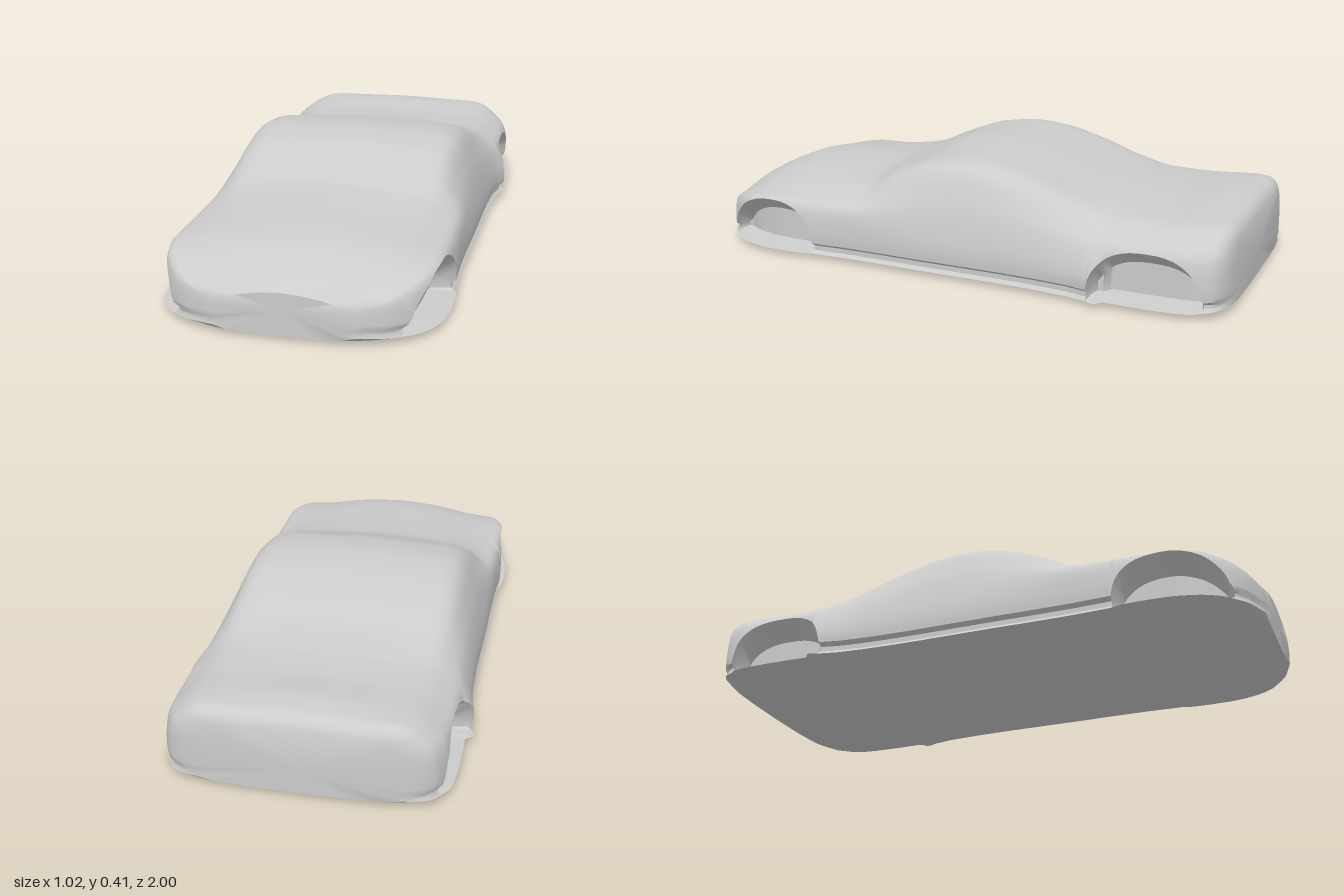
import * as THREE from 'three';
import { toCreasedNormals } from 'three/addons/utils/BufferGeometryUtils.js';

// Body stations: z, side half width, shoulder y, shoulder x, roof edge y, roof edge x, centre top y
const STATIONS = [
  [-1, .34, .15, .335, .235, .28, .25],
  [-.985, .40, .18, .39, .262, .32, .275],
  [-.95, .445, .2, .43, .278, .34, .293],
  [-.87, .472, .2, .455, .274, .36, .302],
  [-.72, .475, .2, .46, .268, .35, .291],
  [-.6, .475, .2, .46, .27, .35, .296],
  [-.57, .505, .2, .462, .272, .35, .3],
  [-.45, .485, .2, .455, .297, .36, .32],
  [-.3, .475, .2, .455, .345, .362, .368],
  [-.15, .472, .2, .455, .38, .365, .405],
  [-.03, .472, .2, .455, .39, .365, .415],
  [.1, .472, .2, .455, .375, .36, .402],
  [.25, .47, .2, .455, .325, .355, .35],
  [.37, .47, .2, .455, .275, .33, .307],
  [.55, .475, .2, .455, .25, .31, .287],
  [.72, .47, .2, .455, .235, .31, .271],
  [.82, .45, .19, .435, .215, .3, .252],
  [.9, .41, .17, .39, .185, .28, .218],
  [.96, .34, .14, .325, .155, .25, .187],
  [1, .23, .11, .215, .14, .15, .16],
];
const ARCH = { centre: .73, half: .19, rise: .14 };
const SILL_Y = .06;

// Smooth interpolation of the station table
function stationAt(z) {
  const n = STATIONS.length;
  let i = 0;
  while (i < n - 2 && z > STATIONS[i + 1][0]) i++;
  const a = STATIONS[i], b = STATIONS[i + 1];
  const h = b[0] - a[0], t = (z - a[0]) / h;
  const slope = (j, c) => {
    if (j === 0 || j === n - 1) return (b[c] - a[c]) / h;
    const p = STATIONS[j - 1], q = STATIONS[j], r = STATIONS[j + 1];
    const s0 = (q[c] - p[c]) / (q[0] - p[0]), s1 = (r[c] - q[c]) / (r[0] - q[0]);
    return s0 * s1 <= 0 ? 0 : 2 * s0 * s1 / (s0 + s1);
  };
  return a.map((v, c) => c === 0 ? z
    : v * (1 + 2 * t) * (1 - t) ** 2 + b[c] * t * t * (3 - 2 * t)
      + h * slope(i, c) * t * (1 - t) ** 2 + h * slope(i + 1, c) * t * t * (t - 1));
}

// One closed section, counterclockwise from the bottom centre
function section(z) {
  const [, w, ys, ws, ye, xe, yt] = stationAt(z);
  const d = Math.min(1, Math.abs(Math.abs(z) - ARCH.centre) / ARCH.half);
  const arch = Math.sqrt(1 - d ** 2.6);
  const open = Math.min(1, arch * 2.2);
  const lipY = SILL_Y + (Math.min(.2, ys) - SILL_Y) * arch;

  // Side, glass and roof as one curve, cut off at the arch lip
  const curve = new THREE.CatmullRomCurve3([
    [w - .006, .02], [w, ys * .5], [ws, ys],
    [(ws + xe) / 2 + .014, (ys + ye) / 2], [xe, ye],
    [xe * .5, yt - (yt - ye) * .28], [0, yt],
  ].map(([x, y]) => new THREE.Vector3(x, y, z)), false, 'centripetal');
  let lo = 0, hi = .6;
  for (let k = 0; k < 20; k++) {
    const m = (lo + hi) / 2;
    if (curve.getPoint(m).y < lipY) lo = m; else hi = m;
  }

  // Floor, floor edge and the sill groove that deepens into the wheel well
  const lift = .012 * z ** 16;
  const floorX = w - .006 + .016 * arch;
  const wellX = w - .018 - .075 * open;
  const half = [
    [0, lift], [floorX * .5, .002 + lift], [floorX * .85, .007 + lift],
    [floorX, .018 + lift], [wellX, .03 + lift],
    [wellX, Math.max(.045, lipY - .012 - .045 * open)],
  ].map(([x, y]) => new THREE.Vector3(x, y, z));
  const upper = 26;
  for (let k = 0; k <= upper; k++) half.push(curve.getPoint(lo + (1 - lo) * k / upper));
  half[half.length - 1].x = 0;

  const mirrored = half.slice(1, -1).reverse().map(p => new THREE.Vector3(-p.x, p.y, z));
  return [...half, ...mirrored];
}

// Skin the sections and close nose and tail
function loft(rings) {
  const n = rings[0].length, index = [];
  const position = rings.flat().flatMap(p => [p.x, p.y, p.z]);
  for (let i = 0; i < rings.length - 1; i++) {
    for (let k = 0; k < n; k++) {
      const a = i * n + k, b = i * n + (k + 1) % n;
      index.push(a, b, a + n, b, b + n, a + n);
    }
  }
  for (const [ring, front] of [[0, false], [rings.length - 1, true]]) {
    const centre = position.length / 3;
    position.push(0, .1, rings[ring][0].z);
    for (let k = 0; k < n; k++) {
      const a = ring * n + k, b = ring * n + (k + 1) % n;
      index.push(centre, front ? a : b, front ? b : a);
    }
  }
  const geometry = new THREE.BufferGeometry();
  geometry.setAttribute('position', new THREE.Float32BufferAttribute(position, 3));
  geometry.setIndex(index);
  return toCreasedNormals(geometry, .75);
}

export function createModel() {
  const group = new THREE.Group();
  group.name = 'carBody';
  const steps = 220;
  const rings = Array.from({ length: steps + 1 }, (_, i) => section(-1 + 2 * i / steps));
  const shell = new THREE.Mesh(loft(rings),
    new THREE.MeshStandardMaterial({ color: 0xcccccc, side: THREE.DoubleSide }));
  shell.name = 'bodyShell';
  group.add(shell);
  return group;
}
